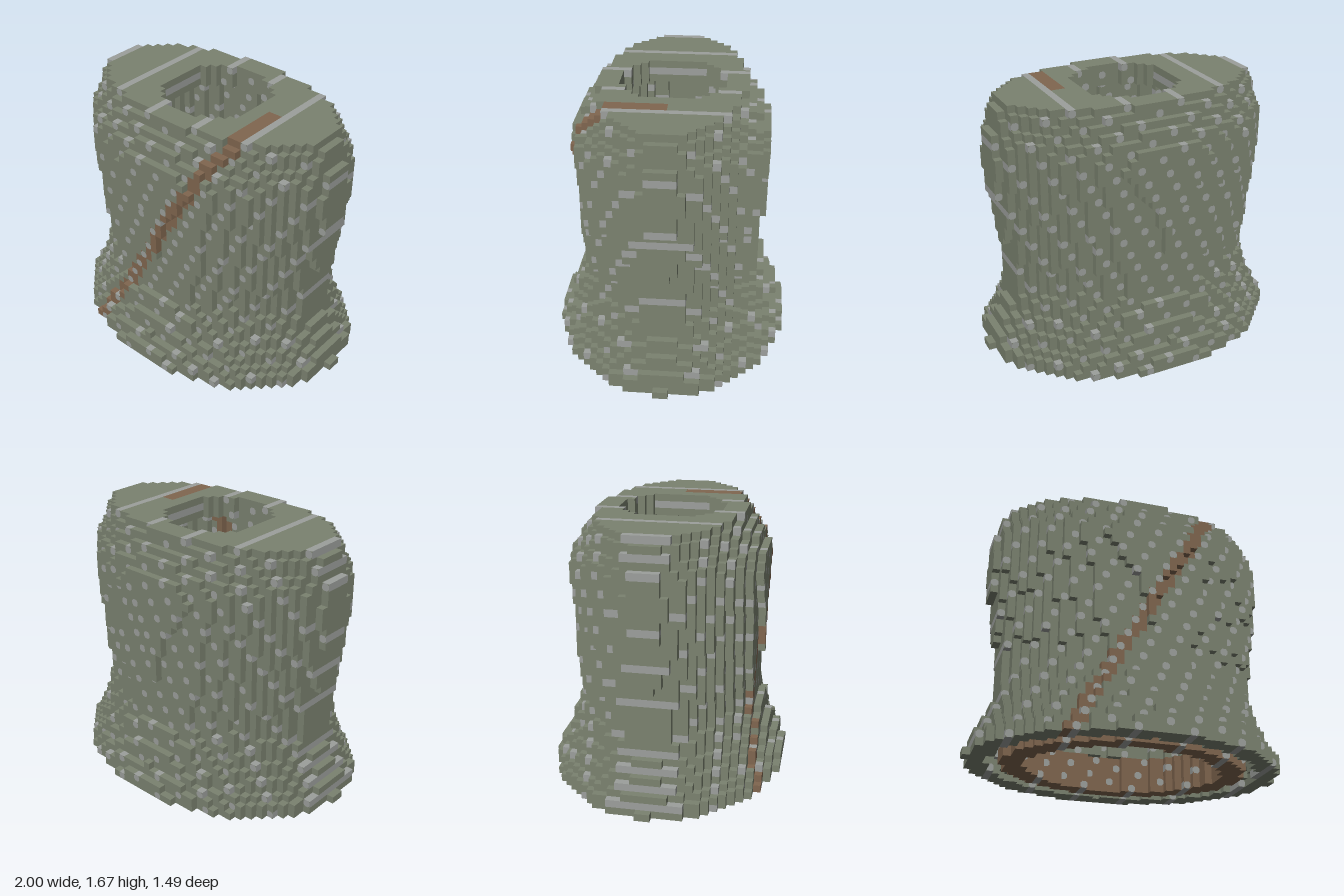
import * as THREE from 'three';

const S = 2 / 43;   // block size
const ROWS = 36;    // rows of blocks

// Samples [row, value] knots at every row
function profile(knots) {
  return Array.from({ length: ROWS }, (_, j) => {
    const n = Math.max(1, knots.findIndex(([row]) => row >= j));
    const [r0, v0] = knots[n - 1], [r1, v1] = knots[n];
    return v0 + (v1 - v0) * (j - r0) / (r1 - r0);
  });
}

// Half width and half depth of the garment in blocks, bottom to top
const halfX = profile([[0, 21.05], [1, 20.9], [2, 20.3], [3, 19.7], [4, 19.3], [5, 18.8], [6, 18.3], [7, 17.9],
  [11, 17.5], [15, 17.9], [16, 18.08], [22, 18.9], [23, 19.17], [27, 19.45], [31, 19.15], [32, 18.8], [34, 18.2], [35, 17.7]]);
const halfZ = profile([[0, 16], [1, 15.7], [2, 15.2], [3, 14.505], [4, 14.2], [5, 13.8], [6, 13.45], [7, 13.3], [8, 12.8], [9, 12.3],
  [12, 12], [15, 12.4], [16, 12.505], [22, 12.53], [23, 12.62], [28, 13.15], [30, 12.85], [31, 12.45], [32, 11.65], [33, 10.95], [34, 10.3], [35, 9.75]]);

const inOval = (x, z, a, b) => (x / a) ** 2 + (z / b) ** 2 <= 1;

// Brown tube hanging inside the flared hem
const LINING_ROWS = 5;
const inLining = (i, j, k) => j < LINING_ROWS && inOval(i, k + 0.5, 16.3, 12);

// Hollow inside: lining tube, gap around it, body cavity, stepped neck hole
const NECK = [7, 7, 7, 6, 6, 5, 4];
function inCavity(i, j, k) {
  const z = k + 0.5;
  if (j < LINING_ROWS) {
    if (inLining(i, j, k)) return inOval(i, z, 13.2, 9.7);
    return inOval(i, z, halfX[j] - 2.8, halfZ[j] - 2.5);
  }
  if (j < 33) return inOval(i, z, 14.5, 9.5);
  return Math.abs(z) < (NECK[Math.abs(i)] ?? 0);
}

function solid(i, j, k) {
  if (j < 0 || j >= ROWS) return false;
  return inOval(i, k + 0.5, halfX[j], halfZ[j]) && !inCavity(i, j, k);
}

// Slanted grid of dots, one block each, running from front to back
const isDot = (i, j) => (2 * i - 1 - j) % 7 === 0;

// Diagonal sash, two blocks wide, on the front half only
function isSash(i, j, k) {
  const left = Math.floor((-0.5 + 0.573 * (j + 0.5) * S) / S);
  return k >= 0 && (i === left || i === left + 1);
}

export function createModel() {
  const group = new THREE.Group();
  group.name = 'sleevelessTunic';

  const parts = {
    cloth: { color: 0x7b8270, mesh: 'clothBody', pos: [] },
    brown: { color: 0x80664f, mesh: 'sashAndHemLining', pos: [] },
    dots: { color: 0x9c9f9c, mesh: 'polkaDots', pos: [] },
  };

  // Flat convex polygon as a triangle fan
  function polygon(part, points, sign) {
    const c = sign > 0 ? points : [...points].reverse();
    for (let n = 1; n < c.length - 1; n++) parts[part].pos.push(...c[0], ...c[n], ...c[n + 1]);
  }

  // Exposed block face
  function face(i, j, k, d, sign) {
    const o = [(i - 0.5) * S, j * S, k * S];
    if (sign > 0) o[d] += S;
    const point = (a, b) => {
      const p = [...o];
      p[(d + 1) % 3] += a * S;
      p[(d + 2) % 3] += b * S;
      return p;
    };
    const base = inLining(i, j, k) || isSash(i, j, k) ? 'brown' : 'cloth';
    const corners = [[0, 0], [1, 0], [1, 1], [0, 1]];

    if (!isDot(i, j) || d !== 2) {
      polygon(isDot(i, j) ? 'dots' : base, corners.map((c) => point(...c)), sign);
      return;
    }
    // Front and back dots are octagons with the ground colour in the corners
    const CUT = 0.26, octagon = [];
    corners.forEach((c, n) => {
      const toward = (q) => point(c[0] + (q[0] - c[0]) * CUT, c[1] + (q[1] - c[1]) * CUT);
      const before = toward(corners[(n + 3) % 4]), after = toward(corners[(n + 1) % 4]);
      octagon.push(before, after);
      polygon(base, [before, point(...c), after], sign);
    });
    polygon('dots', octagon, sign);
  }

  // Walk all blocks and keep the faces that touch air
  for (let j = 0; j < ROWS; j++) {
    for (let i = -21; i <= 21; i++) {
      for (let k = -16; k < 16; k++) {
        if (!solid(i, j, k)) continue;
        for (let d = 0; d < 3; d++) {
          for (const sign of [-1, 1]) {
            const n = [i, j, k];
            n[d] += sign;
            if (!solid(...n)) face(i, j, k, d, sign);
          }
        }
      }
    }
  }

  // One mesh for each colour
  for (const [name, part] of Object.entries(parts)) {
    const geometry = new THREE.BufferGeometry();
    geometry.setAttribute('position', new THREE.Float32BufferAttribute(part.pos, 3));
    geometry.computeVertexNormals();
    const material = new THREE.MeshStandardMaterial({ color: part.color });
    material.name = name;
    const mesh = new THREE.Mesh(geometry, material);
    mesh.name = part.mesh;
    group.add(mesh);
  }
  return group;
}
